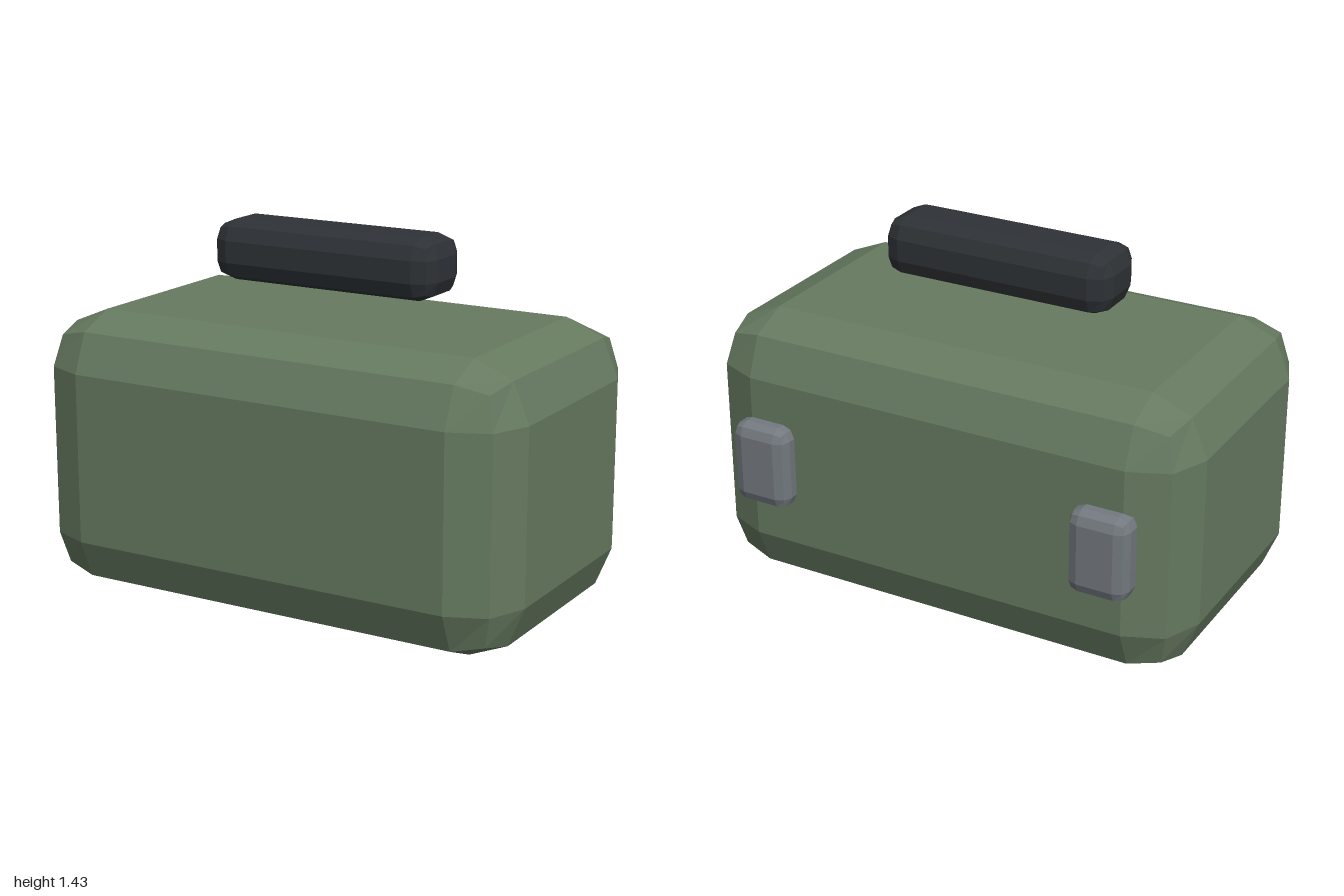
import * as THREE from 'three';
import { RoundedBoxGeometry } from 'three/addons/geometries/RoundedBoxGeometry.js';

const paint = (color) => new THREE.MeshStandardMaterial({ color, flatShading: true });

// One-segment bevelled block, placed by its centre
function block(name, size, radius, position, material) {
  const geometry = new RoundedBoxGeometry(...size, 1, radius);
  geometry.clearGroups();
  const mesh = new THREE.Mesh(geometry, material);
  mesh.name = name;
  mesh.position.set(...position);
  return mesh;
}

export function createModel() {
  const model = new THREE.Group();
  model.name = 'carryCase';
  const green = paint(0x667a60);
  const black = paint(0x2e3236);
  const steel = paint(0x73797f);

  // Main case
  model.add(block('caseBody', [2, 1.095, 1.19], 0.215, [0, 0.5475, 0.04], green));

  // Grip floating above the lid
  model.add(block('handle', [0.95, 0.235, 0.285], 0.075, [0, 1.3125, 0.04], black));

  // Pair of hinges set into the back
  for (const [name, side] of [['leftHinge', 1], ['rightHinge', -1]]) {
    model.add(block(name, [0.238, 0.333, 0.143], 0.048, [side * 0.714, 0.55, -0.5635], steel));
  }
  return model;
}
